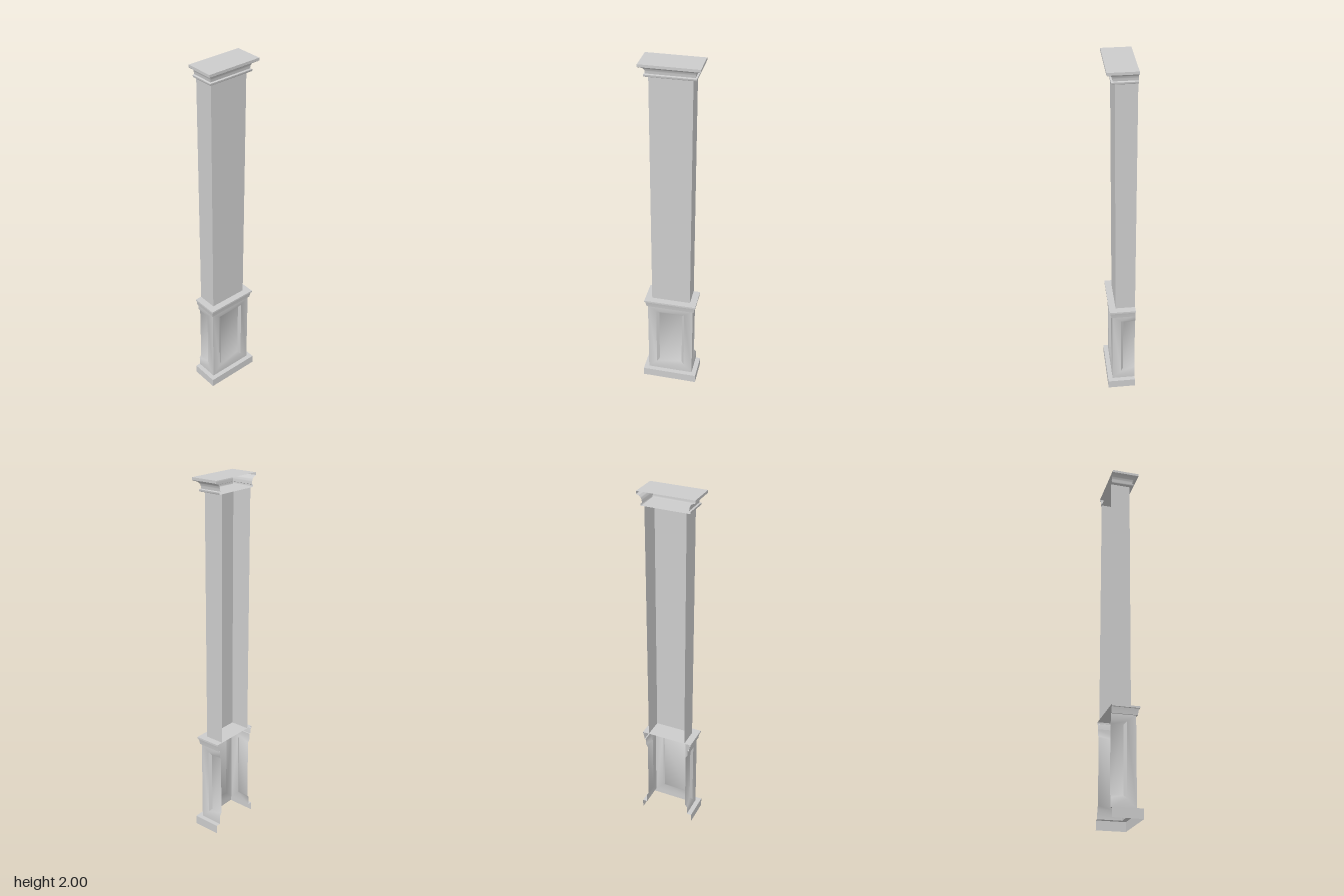
import * as THREE from 'three';
import { toCreasedNormals } from 'three/addons/utils/BufferGeometryUtils.js';

const material = new THREE.MeshStandardMaterial({ color: 0xcccccc, side: THREE.DoubleSide });

// Builds a mesh from a list of four-cornered faces.
function quadMesh(name, quads) {
  const pos = [];
  for (const [a, b, c, d] of quads) pos.push(...a, ...b, ...c, ...a, ...c, ...d);
  const geo = new THREE.BufferGeometry();
  geo.setAttribute('position', new THREE.Float32BufferAttribute(pos, 3));
  const mesh = new THREE.Mesh(toCreasedNormals(geo, 0.6), material);
  mesh.name = name;
  return mesh;
}

// Sweeps a profile of [half width, height] around the left, front and right sides.
function wrap(name, profile) {
  const corners = [[-1, 0], [-1, 1], [1, 1], [1, 0]];
  const at = ([w, y], [sx, sz]) => [sx * w, y, sz * w];
  const quads = [];
  for (let i = 0; i < profile.length - 1; i++) {
    for (let k = 0; k < 3; k++) {
      const p = profile[i], q = profile[i + 1], c = corners[k], d = corners[k + 1];
      quads.push([at(p, c), at(p, d), at(q, d), at(q, c)]);
    }
  }
  return quadMesh(name, quads);
}

// Flat half-square plate.
function plate(name, w, y) {
  return quadMesh(name, [[[-w, y, w], [w, y, w], [w, y, 0], [-w, y, 0]]]);
}

// Pedestal face with a recessed bevelled panel; min and max cut it at the wall.
function panelFace(name, W, min, max) {
  const ring = (w, y0, y1, z) => {
    const l = Math.max(-w, min), r = Math.min(w, max);
    return [[l, y0, z], [r, y0, z], [r, y1, z], [l, y1, z]];
  };
  const rings = [
    ring(W, 0.05, 0.525, W),
    ring(0.082, 0.1, 0.49, W),
    ring(0.067, 0.118, 0.472, W - 0.012),
  ];
  const quads = [rings[2]];
  for (let i = 0; i < 2; i++) {
    for (let k = 0; k < 4; k++) {
      if ((k === 1 && max === 0) || (k === 3 && min === 0)) continue;
      const n = (k + 1) % 4, a = rings[i], b = rings[i + 1];
      quads.push([a[k], a[n], b[n], b[k]]);
    }
  }
  return quadMesh(name, quads);
}

export function createModel() {
  const model = new THREE.Group();
  model.name = 'pilaster';
  const body = new THREE.Group();
  body.name = 'pilasterShell';
  body.position.z = -0.079; // open back lies against the wall
  model.add(body);

  // Pedestal: plinth, three panelled faces and cap
  const W = 0.131;
  body.add(wrap('plinth', [[0.158, 0], [0.158, 0.05], [W, 0.05]]));
  body.add(panelFace('frontPanel', W, -W, W));
  const left = panelFace('leftPanel', W, -W, 0);
  left.rotation.y = Math.PI / 2;
  const right = panelFace('rightPanel', W, 0, W);
  right.rotation.y = -Math.PI / 2;
  body.add(left, right);
  body.add(wrap('pedestalCap', [
    [W, 0.525], [0.138, 0.525], [0.141, 0.545], [0.144, 0.558], [0.148, 0.56], [0.148, 0.57],
  ]));
  body.add(plate('pedestalTop', 0.148, 0.57));

  // Shaft
  body.add(wrap('shaft', [[0.11, 0.57], [0.11, 1.93]]));

  // Capital: band, cove and lip
  const profile = [[0.128, 1.93], [0.13, 1.933], [0.13, 1.941], [0.122, 1.944]];
  for (let i = 0; i <= 8; i++) {
    const t = (i / 8) * Math.PI / 2;
    profile.push([0.148 - 0.025 * Math.cos(t), 1.95 + 0.032 * Math.sin(t)]);
  }
  profile.push([0.153, 1.986], [0.153, 2]);
  body.add(wrap('capital', profile));
  body.add(plate('capitalBottom', 0.128, 1.93), plate('capitalTop', 0.153, 2));
  return model;
}
